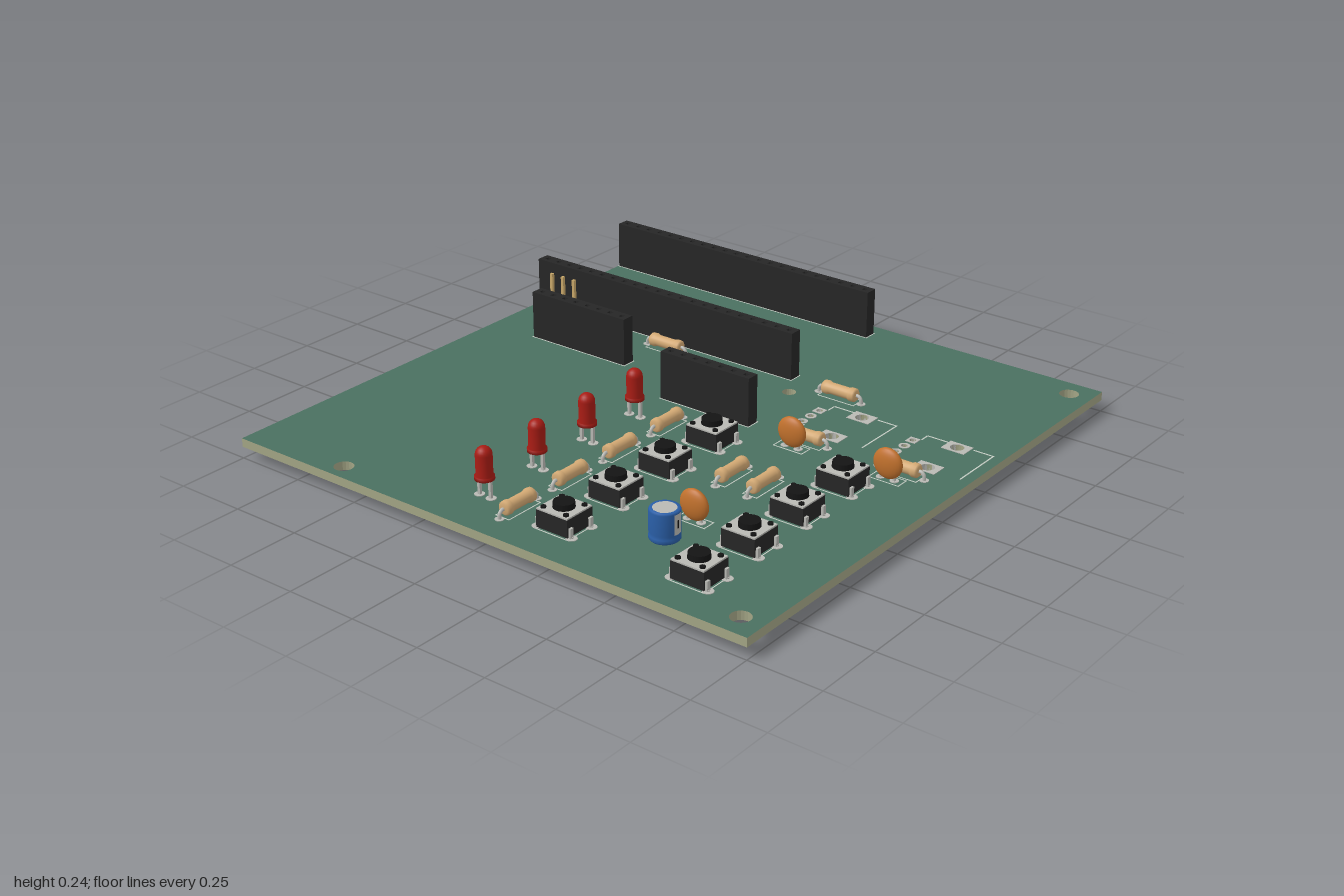
import * as THREE from 'three';
import { RoundedBoxGeometry } from 'three/addons/geometries/RoundedBoxGeometry.js';

const mat = (color) => new THREE.MeshStandardMaterial({ color });
const M = {
  green: mat(0x4a7060), edge: mat(0xa3a585), black: mat(0x262626), dark: mat(0x141414),
  metal: mat(0xb9b9b4), gold: mat(0xc9a869), red: mat(0xa81c14), tan: mat(0xd2a873),
  orange: mat(0xc0702c), blue: mat(0x2a5fa8), silk: mat(0xc4cdc4),
};
const TOP = 0.07, BOTTOM = 0.04, PITCH = 0.0509;

function add(parent, name, geometry, material, x = 0, y = 0, z = 0) {
  const mesh = new THREE.Mesh(geometry, material);
  mesh.name = name;
  mesh.position.set(x, y, z);
  parent.add(mesh);
  return mesh;
}
function group(parent, name, x = 0, z = 0, turn = 0) {
  const g = new THREE.Group();
  g.name = name;
  g.position.set(x, 0, z);
  g.rotation.y = turn;
  parent.add(g);
  return g;
}
const box = (w, h, d) => new THREE.BoxGeometry(w, h, d);
const cyl = (r, h, n = 16) => new THREE.CylinderGeometry(r, r, h, n);
const lathe = (pts, n = 24) => new THREE.LatheGeometry(pts.map((p) => new THREE.Vector2(...p)), n);

// Shapes are drawn in plan (z flipped) and raised upward
function rect(Type, x, z, w, d) {
  const s = new Type();
  s.moveTo(x - w / 2, -z - d / 2);
  s.lineTo(x + w / 2, -z - d / 2);
  s.lineTo(x + w / 2, -z + d / 2);
  s.lineTo(x - w / 2, -z + d / 2);
  s.closePath();
  return s;
}
function round(Type, x, z, r) {
  const s = new Type();
  s.absarc(x, -z, r, 0, Math.PI * 2, false);
  return s;
}
const raise = (shape, depth) =>
  new THREE.ExtrudeGeometry(shape, { depth, bevelEnabled: false, curveSegments: 10 }).rotateX(-Math.PI / 2);

// Solder pad through the board, with a pin poking out below
function solder(parent, x, z, low = 0.013, pinMat = M.metal, r = 0.015) {
  add(parent, 'solderPad', cyl(r, TOP - BOTTOM + 0.004, 14), M.metal, x, (TOP + BOTTOM) / 2, z);
  add(parent, 'pin', cyl(0.0055, TOP - low + 0.005, 8), pinMat, x, (TOP + low + 0.005) / 2, z);
}
function silkRect(parent, x, z, w, d) {
  const s = rect(THREE.Shape, x, z, w, d);
  s.holes.push(rect(THREE.Path, x, z, w - 0.007, d - 0.007));
  add(parent, 'silkOutline', raise(s, 0.001), M.silk, 0, TOP, 0);
}

// Tall socket strip with square openings
function socket(parent, x, z, count) {
  const g = group(parent, 'socketHeader', x, z);
  const w = count * PITCH + 0.003, d = 0.047;
  const upper = rect(THREE.Shape, 0, 0, w, d);
  for (let i = 0; i < count; i++) {
    const px = (i - (count - 1) / 2) * PITCH;
    upper.holes.push(rect(THREE.Path, px, 0, 0.016, 0.016));
    solder(g, px, 0, 0.015, M.gold);
  }
  add(g, 'socketBase', box(w, 0.142, d), M.black, 0, TOP + 0.071, 0);
  add(g, 'socketTop', raise(upper, 0.028), M.black, 0, TOP + 0.142, 0);
  silkRect(g, 0, 0, w + 0.008, d + 0.008);
}

function pinHeader(parent, x, z) {
  const g = group(parent, 'pinHeader', x, z);
  for (let i = -1; i <= 1; i++) {
    add(g, 'pinHousing', new RoundedBoxGeometry(PITCH, 0.05, 0.046, 1, 0.006), M.black, i * PITCH, TOP + 0.025, 0);
    add(g, 'contactPin', box(0.011, 0.17, 0.011), M.gold, i * PITCH, TOP + 0.086, 0);
    solder(g, i * PITCH, 0, 0.015, M.gold);
  }
}

// Axial resistor with swollen ends and bent leads
function resistor(parent, x, z, turn = 0) {
  const g = group(parent, 'resistor', x, z, turn);
  const y = TOP + 0.026;
  const profile = [[0, -0.066], [0.017, -0.066], [0.023, -0.06], [0.024, -0.045], [0.02, -0.036],
    [0.02, 0.036], [0.024, 0.045], [0.023, 0.06], [0.017, 0.066], [0, 0.066]];
  add(g, 'resistorBody', lathe(profile, 20).rotateZ(Math.PI / 2), M.tan, 0, y, 0);
  for (const s of [-1, 1]) {
    const path = new THREE.CatmullRomCurve3([[0.06, y], [0.073, y], [0.082, y - 0.008], [0.084, y - 0.02], [0.084, 0.06]]
      .map(([px, py]) => new THREE.Vector3(s * px, py, 0)));
    add(g, 'resistorLead', new THREE.TubeGeometry(path, 12, 0.006, 8), M.metal);
    solder(g, s * 0.084, 0);
  }
  silkRect(g, 0, 0, 0.145, 0.056);
}

// Domed light on two legs
function led(parent, x, z) {
  const g = group(parent, 'led', x, z);
  const profile = [[0, 0.13], [0.032, 0.13], [0.032, 0.142], [0.027, 0.142], [0.027, 0.213]];
  for (let i = 1; i <= 6; i++) {
    const a = (i / 6) * Math.PI / 2;
    profile.push([0.027 * Math.cos(a), 0.213 + 0.027 * Math.sin(a)]);
  }
  add(g, 'ledDome', lathe(profile), M.red);
  for (const s of [-1, 1]) {
    add(g, 'ledLeg', box(0.01, 0.07, 0.01), M.metal, s * 0.0225, 0.1, 0);
    solder(g, s * 0.0235, 0, 0.01, M.metal, 0.017);
  }
}

// Four-legged push button
function button(parent, x, z) {
  const g = group(parent, 'pushButton', x, z);
  add(g, 'buttonBody', box(0.12, 0.058, 0.115), M.black, 0, TOP + 0.033, 0);
  add(g, 'buttonPlate', box(0.118, 0.005, 0.113), M.metal, 0, TOP + 0.0645, 0);
  add(g, 'buttonPlunger', new THREE.CylinderGeometry(0.033, 0.035, 0.022, 24), M.dark, 0, TOP + 0.075, 0);
  for (const sx of [-1, 1]) for (const sz of [-1, 1]) {
    add(g, 'cornerStud', cyl(0.009, 0.008, 10), M.dark, sx * 0.044, TOP + 0.069, sz * 0.042);
    add(g, 'buttonLeg', box(0.008, 0.036, 0.014), M.metal, sx * 0.064, TOP + 0.016, sz * 0.045);
    solder(g, sx * 0.066, sz * 0.045, 0, M.metal, 0.018);
  }
  silkRect(g, 0, 0, 0.132, 0.127);
}

// Lens-shaped disc capacitor
function discCapacitor(parent, x, z) {
  const g = group(parent, 'discCapacitor', x, z);
  const disc = new THREE.SphereGeometry(1, 24, 16).scale(0.052, 0.052, 0.022);
  add(g, 'capacitorDisc', disc, M.orange, 0, 0.124, 0);
  for (const s of [-1, 1]) {
    add(g, 'capacitorLead', cyl(0.005, 0.04, 8), M.metal, s * 0.025, 0.085, 0);
    solder(g, s * 0.025, 0);
  }
  silkRect(g, 0, 0, 0.112, 0.05);
}

// Can capacitor with a crimped sleeve and a polarity stripe
function canCapacitor(parent, x, z) {
  const g = group(parent, 'canCapacitor', x, z);
  const profile = [[0, 0.072], [0.045, 0.072], [0.049, 0.077], [0.049, 0.088], [0.045, 0.094], [0.049, 0.1],
    [0.049, 0.168], [0.046, 0.174], [0.037, 0.174]];
  add(g, 'capacitorSleeve', lathe(profile, 32), M.blue);
  add(g, 'capacitorTop', cyl(0.038, 0.004, 32), M.metal, 0, 0.172, 0);
  const stripe = new THREE.CylinderGeometry(0.0496, 0.0496, 0.066, 6, 1, true, Math.PI / 2 - 0.3, 0.6);
  add(g, 'polarityStripe', stripe, M.metal, 0, 0.134, 0);
  add(g, 'polarityMark', box(0.002, 0.026, 0.006), M.dark, 0.0495, 0.134, 0);
  for (const s of [-1, 1]) solder(g, s * 0.0255, 0);
}

// Empty footprint of a rotary control: plated pads and outline
function controlFootprint(parent, x) {
  const g = group(parent, 'controlFootprint', x);
  const y = BOTTOM - 0.002, h = TOP - BOTTOM + 0.004;
  for (const [px, pz, r] of potHoles) {
    const big = r > 0.02;
    const pad = big ? null : pz < -0.29 ? rect(THREE.Shape, px, pz, 0.036, 0.036) : round(THREE.Shape, px, pz, 0.019);
    const shape = pad || rect(THREE.Shape, px, pz, 0.084, 0.06);
    shape.holes.push(round(THREE.Path, px, pz, r));
    add(g, big ? 'mountPad' : 'signalPad', raise(shape, h), M.metal, 0, y, 0);
  }
  for (const [lx, lz, w, d] of [[0.4, -0.357, 0.08, 0.005], [0.567, -0.357, 0.075, 0.005],
    [0.602, -0.257, 0.005, 0.2], [0.36, -0.338, 0.005, 0.035], [0.36, -0.17, 0.005, 0.03]])
    add(g, 'silkLine', box(w, 0.002, d), M.silk, lx, TOP, lz);
}
const potHoles = [[0.34, -0.3, 0.011], [0.34, -0.25, 0.011], [0.34, -0.2, 0.011],
  [0.48, -0.34, 0.023], [0.48, -0.165, 0.023]];

export function createModel() {
  const model = new THREE.Group();
  model.name = 'circuitBoard';

  // Board with mounting and footprint holes
  const outline = rect(THREE.Shape, 0, 0, 2, 2);
  const holes = [[0.92, -0.92, 0.033], [0.92, 0.92, 0.033], [-0.6, 0.94, 0.033], [-0.6, -0.355, 0.033],
    [-0.08, -0.36, 0.024], [0.175, -0.36, 0.024]];
  for (const dx of [0, 0.36]) for (const [x, z, r] of potHoles) holes.push([x + dx, z, r]);
  for (const [x, z, r] of holes) outline.holes.push(round(THREE.Path, x, z, r));
  add(model, 'board', raise(outline, TOP - BOTTOM), [M.green, M.edge], 0, BOTTOM, 0);

  // Headers
  socket(model, -0.436, -0.922, 22);
  socket(model, -0.436, -0.464, 22);
  socket(model, -0.6, -0.212, 8);
  socket(model, 0.047, -0.082, 7);
  pinHeader(model, -0.813, -0.36);

  // Rows of lights, resistors and buttons
  for (let i = 0; i < 4; i++) {
    const z = 0.1 + i * 0.24;
    led(model, -0.115, z);
    resistor(model, 0.018, z, Math.PI / 2);
    button(model, 0.2, z);
    button(model, 0.7, z);
  }

  // Remaining small parts
  for (const [x, z] of [[-0.365, -0.385], [0.335, -0.425], [0.435, -0.083], [0.795, -0.083]]) resistor(model, x, z);
  for (const x of [0.396, 0.516]) resistor(model, x, 0.257, Math.PI / 2);
  for (const [x, z] of [[0.423, -0.024], [0.783, -0.024], [0.48, 0.556]]) discCapacitor(model, x, z);
  canCapacitor(model, 0.48, 0.697);
  for (const x of [0, 0.36]) controlFootprint(model, x);

  return model;
}
